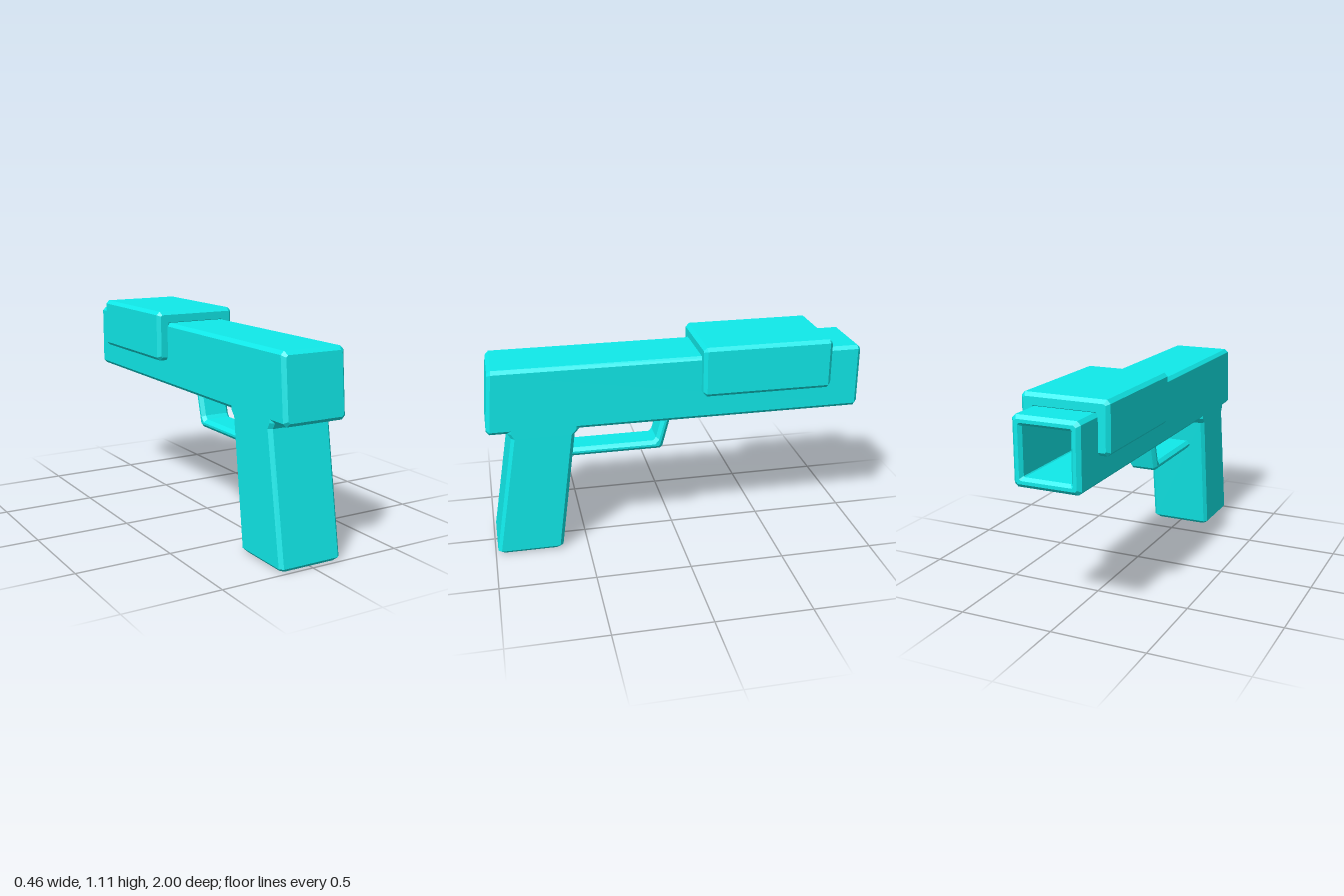
import * as THREE from 'three';

const BEVEL = 0.018;

// Rectangle with cut corners, counter-clockwise in (u, v)
function cutRect(u0, u1, v0, v1, c) {
  return [
    [u0 + c, v0], [u1 - c, v0], [u1, v0 + c], [u1, v1 - c],
    [u1 - c, v1], [u0 + c, v1], [u0, v1 - c], [u0, v0 + c],
  ];
}

// Skin a list of equal-length 3D rings and close both ends
function loft(rings) {
  const pos = [];
  const tri = (a, b, c) => pos.push(...a, ...b, ...c);
  const n = rings[0].length;
  for (let r = 0; r < rings.length - 1; r++) {
    const a = rings[r], b = rings[r + 1];
    for (let i = 0; i < n; i++) {
      const j = (i + 1) % n;
      tri(a[i], a[j], b[j]);
      tri(a[i], b[j], b[i]);
    }
  }
  const first = rings[0], last = rings[rings.length - 1];
  for (let i = 1; i < n - 1; i++) {
    tri(first[0], first[i + 1], first[i]);
    tri(last[0], last[i], last[i + 1]);
  }
  const geo = new THREE.BufferGeometry();
  geo.setAttribute('position', new THREE.Float32BufferAttribute(pos, 3));
  geo.computeVertexNormals();
  return geo;
}

// Bevelled extrusion whose outline is the finished outer size
function bevelled(points, depth) {
  const shape = new THREE.Shape(points.map(([x, y]) => new THREE.Vector2(x, y)));
  const geo = new THREE.ExtrudeGeometry(shape, {
    depth: depth - 2 * BEVEL, bevelEnabled: true, bevelSegments: 1,
    bevelSize: BEVEL, bevelThickness: BEVEL, bevelOffset: -BEVEL,
  });
  return geo.translate(0, 0, BEVEL - depth / 2);
}

export function createModel() {
  const group = new THREE.Group();
  const material = new THREE.MeshStandardMaterial({ color: 0x10eaea, flatShading: true });
  const add = (name, geo) => {
    const mesh = new THREE.Mesh(geo, material);
    mesh.name = name;
    group.add(mesh);
    return mesh;
  };

  // Long body: from the bottom of the bore, out over the muzzle rim, back to the slanted rear
  const bodyRing = (z, inset, corner, slant = 0) =>
    cutRect(-0.175 + inset, 0.175 - inset, 0.7 + inset, 1.045 - inset, corner)
      .map(([x, y]) => [x, y, z - slant * (y - 0.7)]);
  add('body', loft([
    bodyRing(-0.35, 0.05, 0.005),
    bodyRing(-1 + BEVEL, 0.05, 0.005),
    bodyRing(-1, 0.035, 0.008),
    bodyRing(-1, BEVEL, 0.01),
    bodyRing(-1 + BEVEL, 0, BEVEL),
    bodyRing(1 - BEVEL, 0, BEVEL, 0.09),
    bodyRing(1, BEVEL, 0.01, 0.09),
  ]));

  // Raked grip with a small flare where it meets the body
  const gripRing = (y, zFront, zBack, inset = 0) =>
    cutRect(zFront, zBack, -0.175 + inset, 0.175 - inset, BEVEL)
      .map(([z, x]) => [x, y, z]);
  add('grip', loft([
    gripRing(0, 0.655, 0.97, BEVEL),
    gripRing(BEVEL, 0.636, 0.987),
    gripRing(0.67, 0.547, 0.875),
    gripRing(0.7, 0.52, 0.892),
    gripRing(0.72, 0.52, 0.892),
  ]));

  // Saddle over the barrel, open beneath so the bore stays clear
  const half = [[0.15, 0.84], [0.214, 0.84], [0.232, 0.858], [0.232, 1.089], [0.214, 1.107]];
  const mirrored = half.map(([x, y]) => [-x, y]).reverse();
  const saddle = add('slideCover', bevelled(
    [...half, ...mirrored, [-0.15, 1.03], [0.15, 1.03]], 0.695));
  saddle.position.z = -0.472;

  // Trigger guard: angled strut and bar, drawn in side profile (z, y)
  const guard = bevelled([
    [0.006, 0.73], [0.064, 0.515], [0.08, 0.5], [0.62, 0.5],
    [0.62, 0.547], [0.115, 0.547], [0.1, 0.565], [0.053, 0.73],
  ], 0.165);
  add('triggerGuard', guard.rotateY(-Math.PI / 2));

  return group;
}
